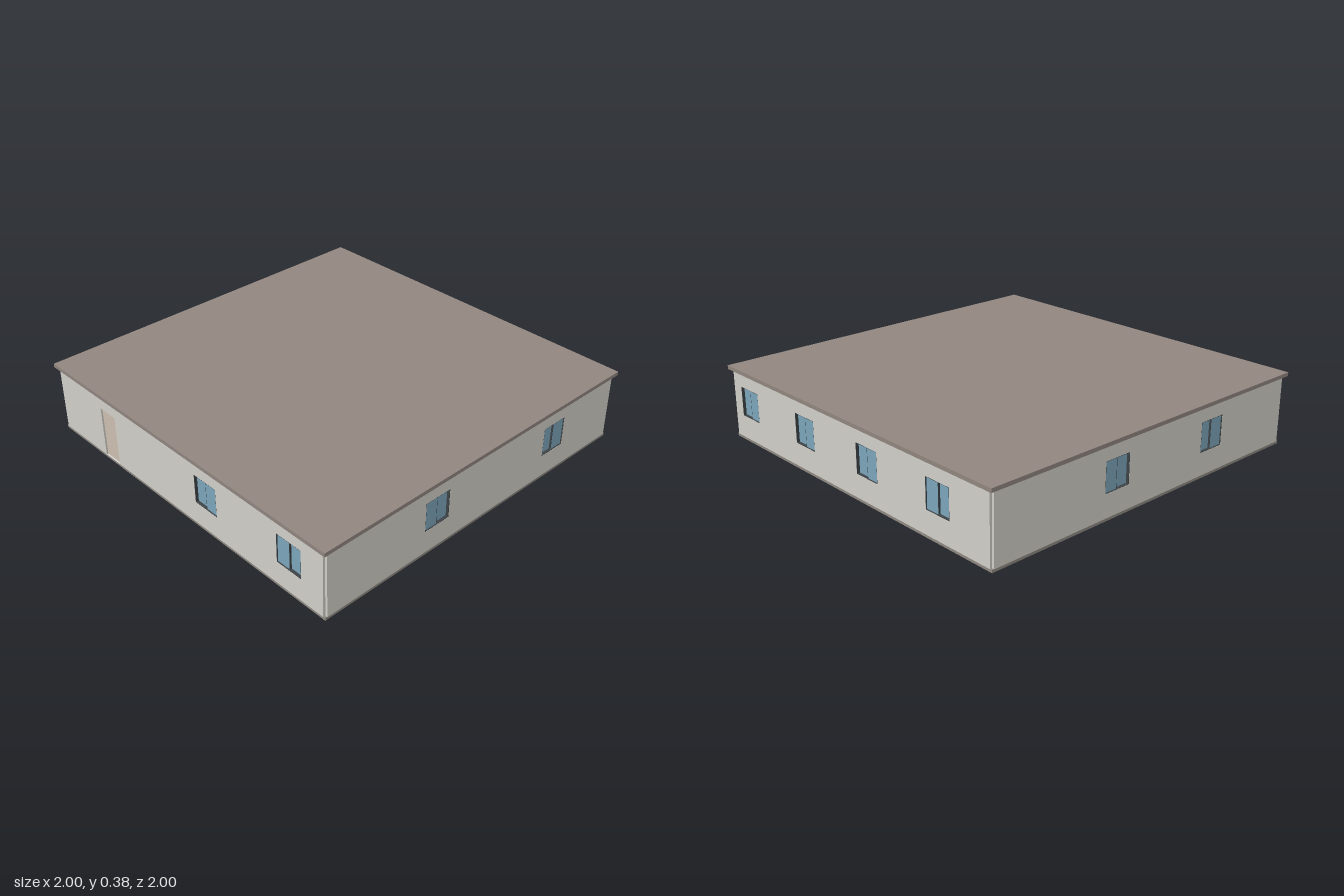
import * as THREE from 'three';

const WALL_OUT = 0.985, WALL_T = 0.024, WALL_HALF = 0.973;
const FLOOR_TOP = 0.015, WALL_TOP = 0.366;
const SILL = 0.135, HEAD = 0.29, WIN_W = 0.154;

const mat = (color) => new THREE.MeshStandardMaterial({ color });
const wallMat = mat(0xd2d0c9), roofMat = mat(0x91867f), floorMat = mat(0x8f8a82);
const glassMat = mat(0x7ca5bb), doorMat = mat(0xcdbfb2), frameMat = mat(0x3c4246);

function box(name, w, h, d, x, y, z, material) {
  const m = new THREE.Mesh(new THREE.BoxGeometry(w, h, d), material);
  m.name = name;
  m.position.set(x, y, z);
  return m;
}

function rectHole(x0, x1, y0, y1) {
  return new THREE.Path([[x0, y0], [x0, y1], [x1, y1], [x1, y0]].map((p) => new THREE.Vector2(...p)));
}

// Two sliding panes, one set behind the other, above a thin dark sill
function buildWindow(u, deepLeft) {
  const g = new THREE.Group();
  g.name = 'window';
  const h = HEAD - SILL, w = WIN_W / 2;
  for (const side of [-1, 1]) {
    const deep = (side < 0) === deepLeft;
    g.add(box('windowPane', w, h, 0.008, u + side * w / 2, (SILL + HEAD) / 2, deep ? 0.965 : 0.975, glassMat));
  }
  // dark lining of the reveal and the edge between the panes
  const t = 0.002, d = 0.022, z = WALL_OUT - 0.0115;
  for (const s of [-1, 1]) {
    g.add(box('windowJamb', t, h, d, u + s * (w - t / 2), (SILL + HEAD) / 2, z, frameMat));
    g.add(box('windowRail', WIN_W, t, d, u, (SILL + HEAD) / 2 + s * (h - t) / 2, z, frameMat));
  }
  g.add(box('windowMeetingStile', t, h, 0.016, u, (SILL + HEAD) / 2, 0.9712, frameMat));
  return g;
}

// One wall facing local +z, with openings measured along its own x
function buildWall(name, angle, windows, door) {
  const g = new THREE.Group();
  g.name = name;
  const shape = new THREE.Shape([
    new THREE.Vector2(-WALL_HALF, FLOOR_TOP), new THREE.Vector2(WALL_HALF, FLOOR_TOP),
    new THREE.Vector2(WALL_HALF, WALL_TOP), new THREE.Vector2(-WALL_HALF, WALL_TOP),
  ]);
  for (const [u, deepLeft] of windows) {
    shape.holes.push(rectHole(u - WIN_W / 2, u + WIN_W / 2, SILL, HEAD));
    g.add(buildWindow(u, deepLeft));
  }
  if (door) {
    const [x0, x1] = door, y0 = FLOOR_TOP + 0.0005;
    shape.holes.push(rectHole(x0, x1, y0, HEAD));
    g.add(box('door', x1 - x0, HEAD - y0, 0.012, (x0 + x1) / 2, (y0 + HEAD) / 2, 0.97, doorMat));
  }
  const geo = new THREE.ExtrudeGeometry(shape, { depth: WALL_T, bevelEnabled: false });
  geo.translate(0, 0, WALL_OUT - WALL_T);
  const wall = new THREE.Mesh(geo, wallMat);
  wall.name = name + 'Panel';
  g.add(wall);
  g.rotation.y = angle;
  return g;
}

export function createModel() {
  const house = new THREE.Group();
  house.name = 'house';

  // Floor slab and flat roof with a small overhang
  house.add(box('floorSlab', 1.966, FLOOR_TOP, 1.966, 0, FLOOR_TOP / 2, 0, floorMat));
  house.add(box('roof', 2, 0.02, 2, 0, 0.375, 0, roofMat));

  // Four walls, each turned to its side
  house.add(buildWall('frontWall', 0, [[0.2, true], [0.762, false]], [-0.62, -0.503]));
  house.add(buildWall('rightSideWall', Math.PI / 2, [[-0.307, false], [0.52, true]]));
  house.add(buildWall('backWall', Math.PI, [[-0.83, true], [-0.337, true], [0.155, true], [0.648, false]]));
  house.add(buildWall('leftSideWall', -Math.PI / 2, [[-0.246, false], [0.414, true]]));
  return house;
}
